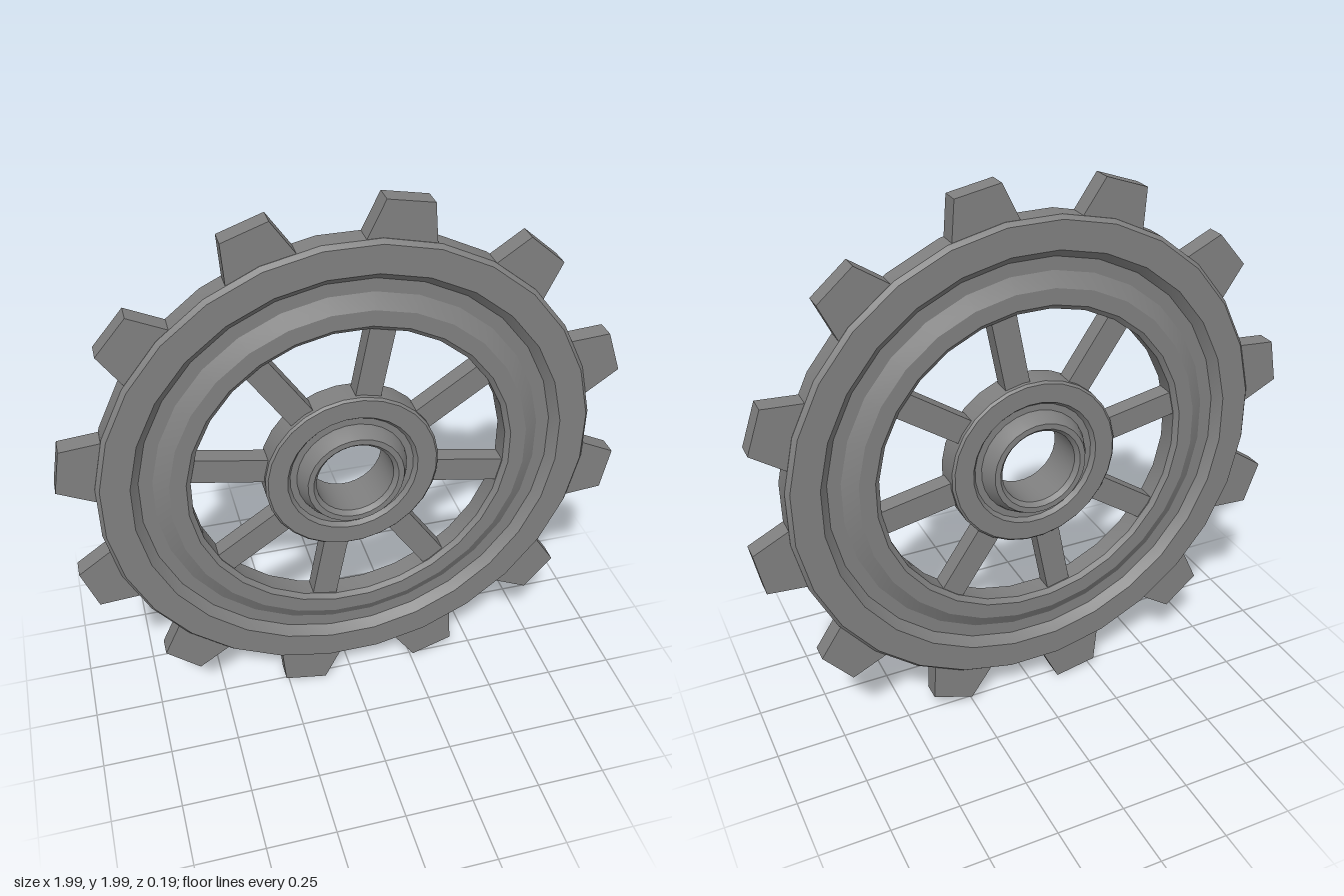
import * as THREE from 'three';
import { toCreasedNormals } from 'three/addons/utils/BufferGeometryUtils.js';

const SIDES = 28;
const TURN = THREE.MathUtils.degToRad(-10.7); // shared angle of teeth and spokes

// Ring turned around z; the half profile [radius, z] runs outer to inner and is mirrored to the back.
function turnedRing(half) {
  const loop = [...half, ...half.map(([r, z]) => [r, -z]).reverse(), half[0]];
  const points = loop.map(([r, z]) => new THREE.Vector2(r, z));
  const geometry = new THREE.LatheGeometry(points, SIDES, Math.PI / SIDES);
  geometry.rotateX(Math.PI / 2);
  return toCreasedNormals(geometry, 0.45);
}

export function createModel() {
  const model = new THREE.Group();
  const material = new THREE.MeshStandardMaterial({ color: 0x808080 });
  const wheel = new THREE.Group();
  wheel.name = 'sprocketWheel';
  wheel.position.y = 1;
  model.add(wheel);

  const add = (name, geometry, angle = 0) => {
    const mesh = new THREE.Mesh(geometry, material);
    mesh.name = name;
    mesh.rotation.z = angle;
    wheel.add(mesh);
  };

  // Rim: bevelled outer band, recessed groove, inner band
  add('rim', turnedRing([
    [0.877, 0.036], [0.864, 0.052], [0.765, 0.052], [0.735, 0.02],
    [0.688, 0.02], [0.637, 0.05], [0.58, 0.05], [0.563, 0.036],
  ]));

  // Hub: flange, shallow groove and tapered boss around the bore
  add('hub', turnedRing([
    [0.31, 0.046], [0.302, 0.054], [0.234, 0.054], [0.222, 0.038],
    [0.198, 0.038], [0.19, 0.06], [0.172, 0.094], [0.152, 0.094], [0.138, 0.078],
  ]));

  // Spokes
  const spokeGeometry = new THREE.BoxGeometry(0.34, 0.09, 0.064);
  spokeGeometry.translate(0.43, 0, 0);
  for (let i = 0; i < 8; i++) add('spoke', spokeGeometry, TURN + (i * Math.PI) / 4);

  // Tapered teeth
  const toothShape = new THREE.Shape([
    new THREE.Vector2(0.83, -0.127), new THREE.Vector2(0.999, -0.08),
    new THREE.Vector2(0.999, 0.08), new THREE.Vector2(0.83, 0.127),
  ]);
  const toothGeometry = new THREE.ExtrudeGeometry(toothShape, { depth: 0.068, bevelEnabled: false });
  toothGeometry.translate(0, 0, -0.034);
  for (let i = 0; i < 12; i++) add('tooth', toothGeometry, TURN + (i * Math.PI) / 6);

  return model;
}
